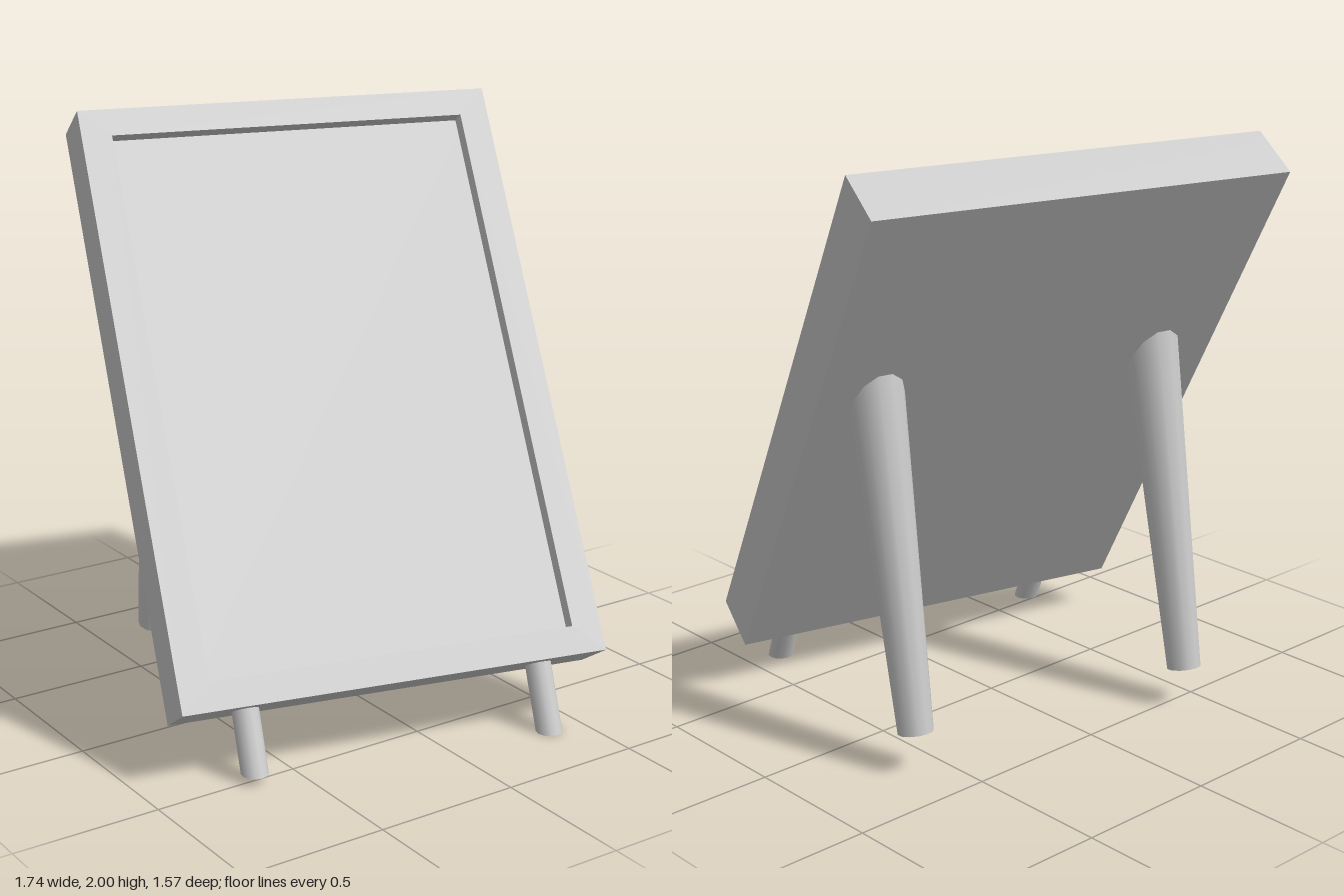
import * as THREE from 'three';

const UP = new THREE.Vector3(0, 1, 0);
const YAW = -0.234, TILT = -0.556;
const W = 1.49, H = 2.055, BACK = 0.15, RIM = 0.05;

// counter-clockwise rectangle centred on the origin
function rectangle(PathType, w, h) {
  const path = new PathType();
  path.moveTo(-w / 2, -h / 2);
  path.lineTo(w / 2, -h / 2);
  path.lineTo(w / 2, h / 2);
  path.lineTo(-w / 2, h / 2);
  path.closePath();
  return path;
}

export function createModel() {
  const model = new THREE.Group();
  model.name = 'leaningBoard';
  const material = new THREE.MeshStandardMaterial({ color: 0xcccccc });

  function addMesh(parent, name, geometry) {
    const mesh = new THREE.Mesh(geometry, material);
    mesh.name = name;
    parent.add(mesh);
    return mesh;
  }

  // tilted board: solid backing with a raised rim on its front
  const board = new THREE.Group();
  board.name = 'board';
  board.rotation.set(TILT, YAW, 0, 'YXZ');
  board.position.y = 1.077;
  model.add(board);

  const backing = addMesh(board, 'backPanel', new THREE.BoxGeometry(W, H, BACK));
  backing.position.z = -RIM / 2;

  const rimShape = rectangle(THREE.Shape, W, H);
  rimShape.holes.push(rectangle(THREE.Path, 1.28, 1.863));
  const rim = addMesh(board, 'frontRim',
    new THREE.ExtrudeGeometry(rimShape, { depth: RIM, bevelEnabled: false }));
  rim.position.z = BACK - 0.1;

  // short front legs: slanted, with level feet
  function addFrontLeg(name, x, y, z) {
    const height = 0.26;
    const geometry = new THREE.CylinderGeometry(0.045, 0.045, height, 12);
    geometry.translate(0, height / 2, 0);
    geometry.applyMatrix4(new THREE.Matrix4().set(
      1, 0.09, 0, 0,
      0, 1, 0, 0,
      0, -0.43, 1, 0,
      0, 0, 0, 1));
    addMesh(model, name, geometry).position.set(x, y, z);
  }
  addFrontLeg('frontLegLeft', 0.37, 0, 0.745);
  addFrontLeg('frontLegRight', -0.645, 0.025, 0.5);

  // long rear legs: wider at the top, leaning forward into the back panel
  function addRearLeg(name, x, z) {
    const foot = new THREE.Vector3(x, 0.138, z);
    const axis = new THREE.Vector3(-0.048, 1, 0.218).multiplyScalar(1.157);
    const length = axis.length();
    const geometry = new THREE.CylinderGeometry(0.096, 0.06, length, 12);
    geometry.translate(0, length / 2, 0);
    const leg = addMesh(model, name, geometry);
    leg.position.copy(foot);
    leg.quaternion.setFromUnitVectors(UP, axis.normalize());
  }
  addRearLeg('rearLegLeft', 0.605, -0.295);
  addRearLeg('rearLegRight', -0.415, -0.54);

  return model;
}
